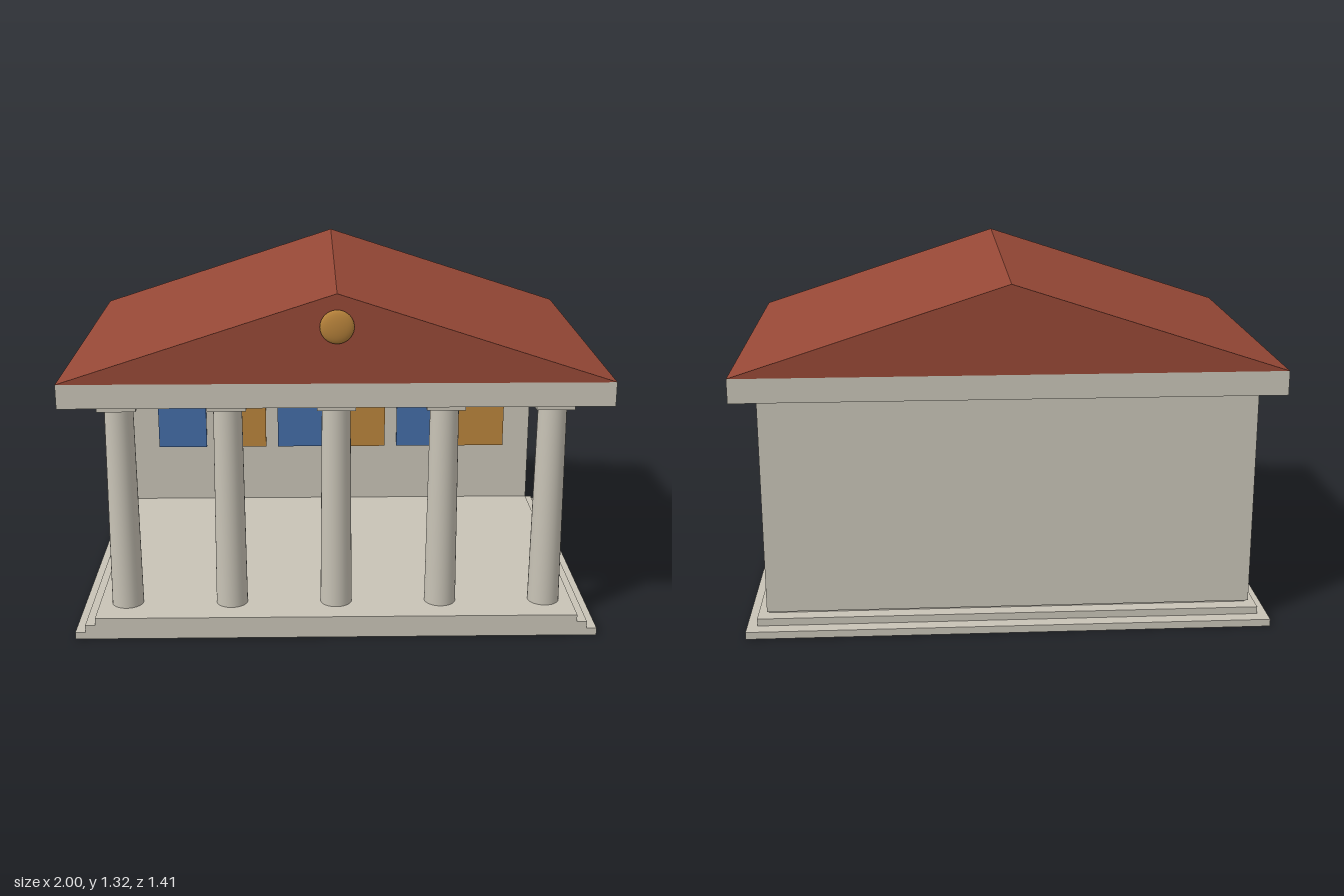
import * as THREE from 'three';

const material = (name, color) => {
  const m = new THREE.MeshStandardMaterial({ color });
  m.name = name;
  return m;
};

export function createModel() {
  const model = new THREE.Group();
  model.name = 'temple';
  const stone = material('stone', 0xc8c3b6);
  const tile = material('roofTile', 0x964836);
  const gold = material('gold', 0xb8833b);
  const blue = material('blue', 0x436ca6);

  const add = (name, geometry, mat, parent = model) => {
    const mesh = new THREE.Mesh(geometry, mat);
    mesh.name = name;
    parent.add(mesh);
    return mesh;
  };
  // Box given by its limits on each axis
  const block = (name, mat, x0, x1, y0, y1, z0, z1, parent) => {
    const mesh = add(name, new THREE.BoxGeometry(x1 - x0, y1 - y0, z1 - z0), mat, parent);
    mesh.position.set((x0 + x1) / 2, (y0 + y1) / 2, (z0 + z1) / 2);
    return mesh;
  };

  const front = 0.678, back = -0.702;

  // Stepped base: flush at the front, stepped at the sides and back
  [[0.983, back], [0.945, -0.648], [0.907, -0.593]].forEach(([w, z], i) =>
    block('step' + (i + 1), stone, -w, w, i * 0.028, (i + 1) * 0.028, z, front));

  // Rear wall with alternating painted panels
  block('rearWall', stone, -0.907, 0.907, 0.084, 0.905, -0.648, -0.578);
  for (let i = 0; i < 6; i++) {
    const x = (i - 2.5) * 0.272;
    block('wallPanel', i % 2 ? gold : blue, x - 0.109, x + 0.109, 0.339, 0.612, -0.578, -0.5685);
  }

  // Tapered columns with square capitals
  for (let i = -2; i <= 2; i++) {
    const column = new THREE.Group();
    column.name = 'column';
    column.position.set(i * 0.4, 0, 0.532);
    const shaft = add('shaft', new THREE.CylinderGeometry(0.053, 0.06, 0.786, 32), stone, column);
    shaft.position.y = 0.477;
    block('capital', stone, -0.071, 0.071, 0.87, 0.905, -0.072, 0.072, column);
    model.add(column);
  }

  // Roof slab and gable roof
  block('entablature', stone, -1, 1, 0.905, 0.995, back, front);
  const gable = new THREE.Shape([
    new THREE.Vector2(-1, 0.995), new THREE.Vector2(1, 0.995), new THREE.Vector2(0, 1.32),
  ]);
  const roof = new THREE.ExtrudeGeometry(gable, { depth: front - back, bevelEnabled: false });
  add('roof', roof, tile).position.z = back;

  // Flattened round medallion on the front gable
  const medallion = add('medallion', new THREE.SphereGeometry(0.061, 32, 20), gold);
  medallion.scale.z = 0.3;
  medallion.position.set(0, 1.203, 0.685);

  return model;
}
